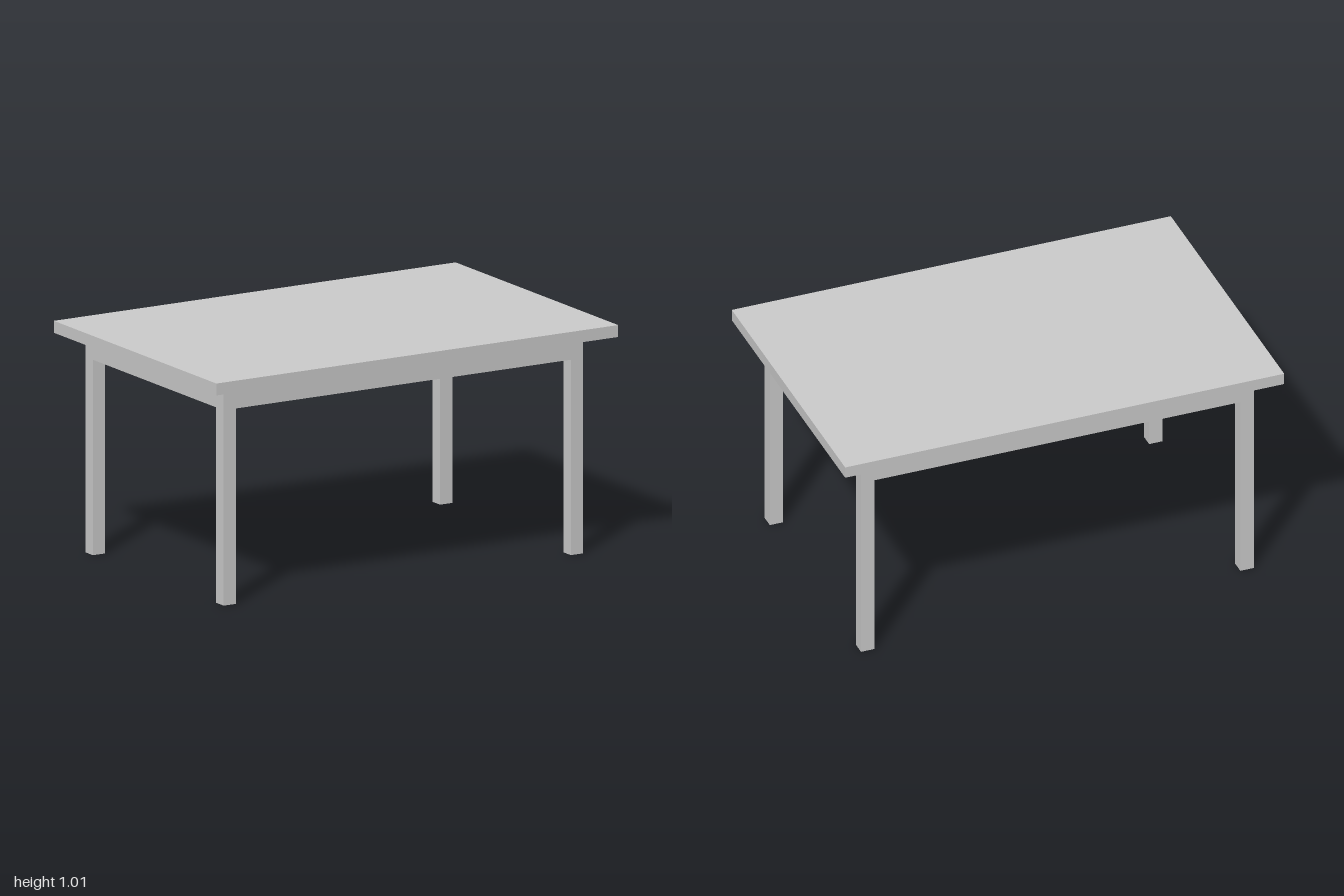
import * as THREE from 'three';

export function createModel() {
  const table = new THREE.Group();
  table.name = 'table';
  const material = new THREE.MeshStandardMaterial({ color: 0xcccccc, flatShading: true });

  function box(name, w, h, d, x, y, z) {
    const mesh = new THREE.Mesh(new THREE.BoxGeometry(w, h, d), material);
    mesh.name = name;
    mesh.position.set(x, y, z);
    table.add(mesh);
  }

  const height = 1.007, underside = 0.955, apronBottom = 0.853;
  const leg = 0.061;                 // leg and apron thickness
  const legX = 0.864, legZ = 0.53;   // leg centres
  const frameX = 0.001, frameZ = -0.016; // the frame sits slightly towards the back

  // Table top
  box('tableTop', 2, height - underside, 1.318, 0, (height + underside) / 2, 0);

  // Four square legs
  for (const sx of [-1, 1]) {
    for (const sz of [-1, 1]) {
      const name = (sz > 0 ? 'front' : 'back') + (sx > 0 ? 'Left' : 'Right') + 'Leg';
      box(name, leg, underside, leg, frameX + sx * legX, underside / 2, frameZ + sz * legZ);
    }
  }

  // Aprons between the legs, flush with them
  const apronH = underside - apronBottom, apronY = (underside + apronBottom) / 2;
  for (const s of [-1, 1]) {
    box(s > 0 ? 'frontApron' : 'backApron', 2 * legX - leg, apronH, leg, frameX, apronY, frameZ + s * legZ);
    box(s > 0 ? 'leftApron' : 'rightApron', leg, apronH, 2 * legZ - leg, frameX + s * legX, apronY, frameZ);
  }

  return table;
}
